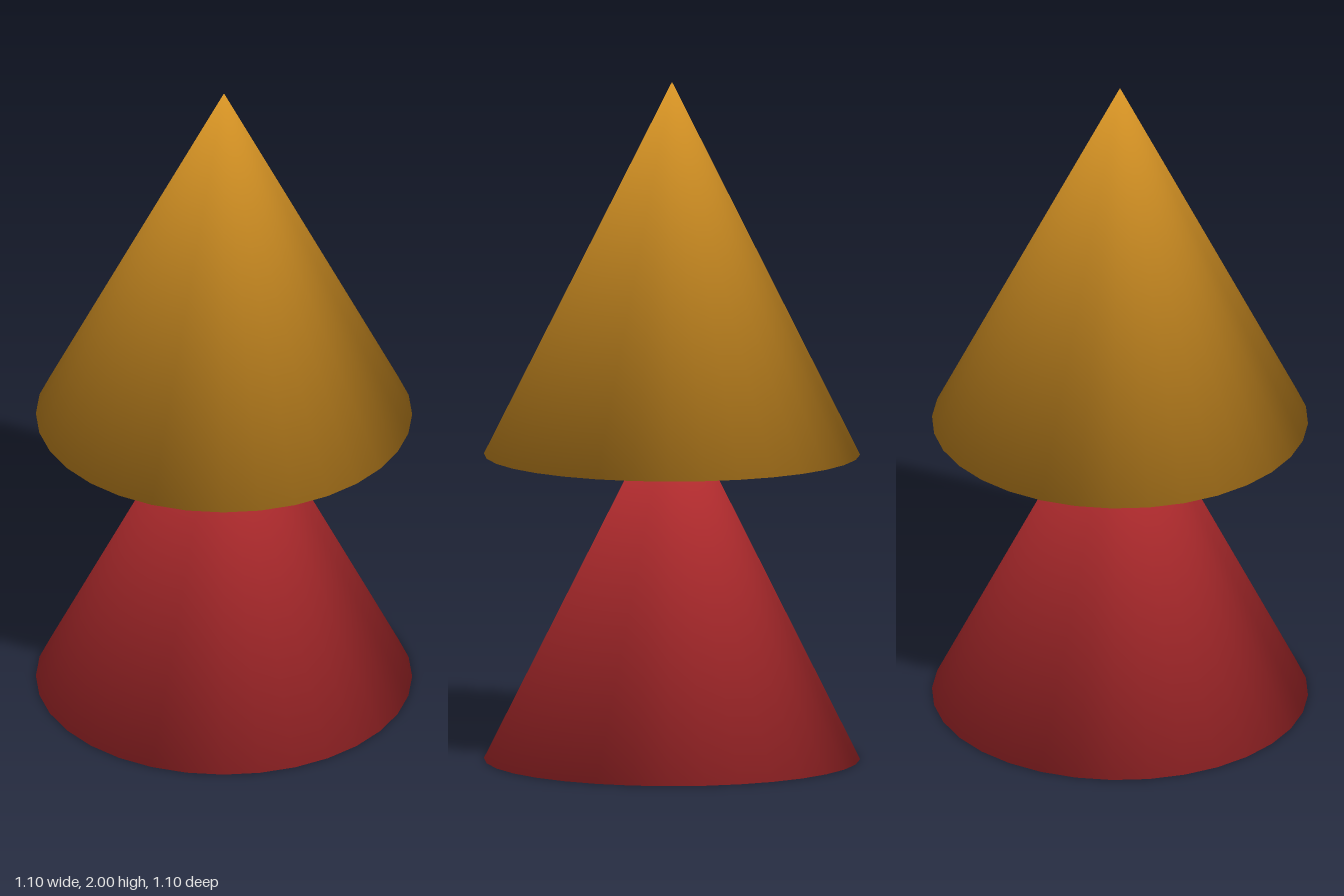
import * as THREE from 'three';

const RADIUS = 0.55, HEIGHT = 1.1;

// Closed cone whose soft normals run from the tip, around the rim and across the base
function softCone() {
  const geometry = new THREE.ConeGeometry(RADIUS, HEIGHT, 32);
  const { position, normal } = geometry.attributes;
  const spread = 0.866 / RADIUS;
  for (let i = 0; i < position.count; i++) {
    if (position.getY(i) > 0) normal.setXYZ(i, 0, 1, 0);
    else normal.setXYZ(i, position.getX(i) * spread, -0.5, position.getZ(i) * spread);
  }
  return geometry.translate(0, HEIGHT / 2, 0);
}

export function createModel() {
  const model = new THREE.Group();
  model.name = 'stackedCones';

  // The lower cone's tip sits inside the upper cone
  const parts = [
    ['lowerCone', 0, 0xcc3336],
    ['upperCone', 0.9, 0xe09a26],
  ];
  for (const [name, y, color] of parts) {
    const cone = new THREE.Mesh(softCone(), new THREE.MeshStandardMaterial({ color }));
    cone.name = name;
    cone.position.y = y;
    model.add(cone);
  }
  return model;
}
